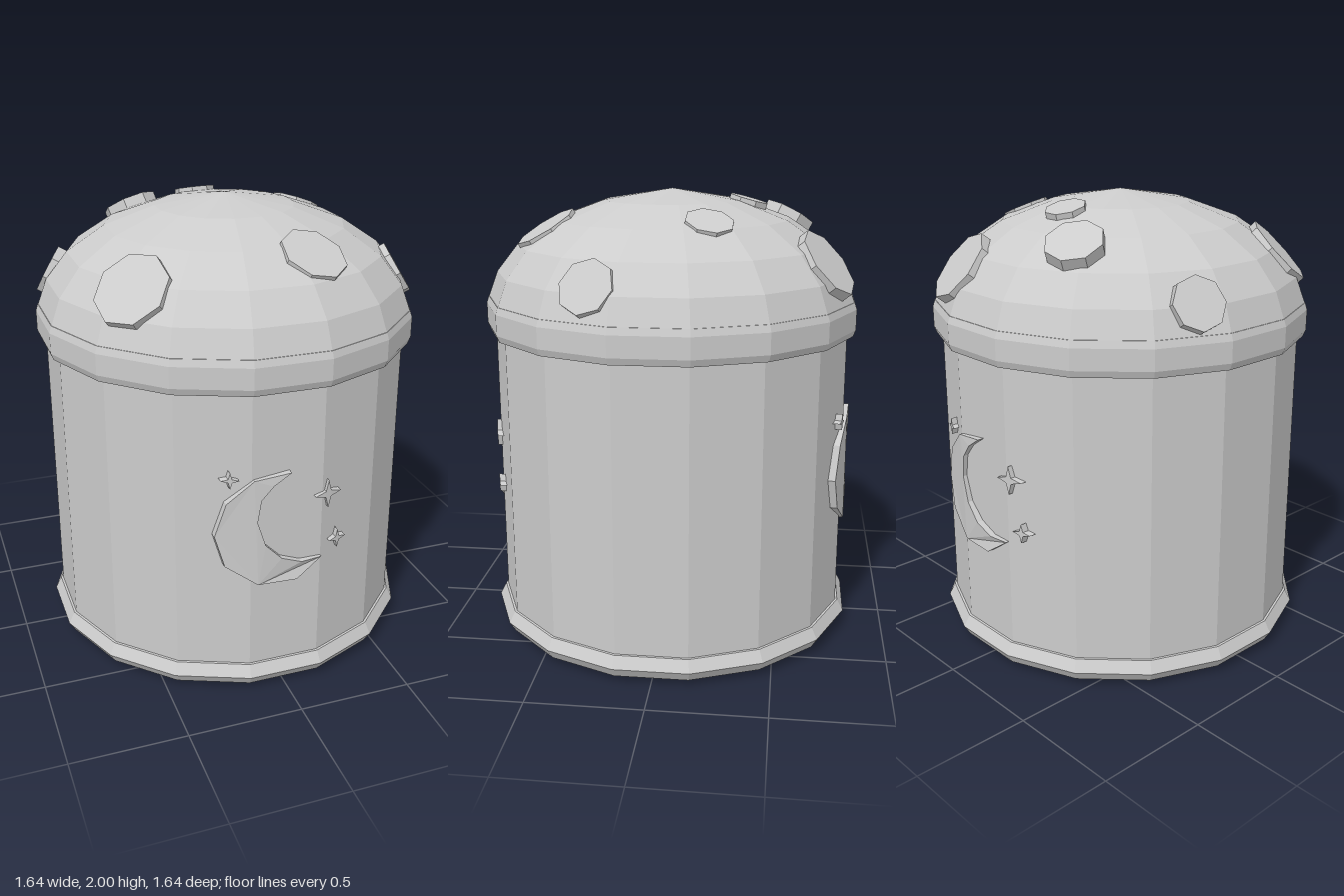
import * as THREE from 'three';

const SIDES = 16;
const material = new THREE.MeshStandardMaterial({ color: 0xcccccc, flatShading: true });

function addMesh(parent, name, geometry) {
  const mesh = new THREE.Mesh(geometry, material);
  mesh.name = name;
  parent.add(mesh);
  return mesh;
}

// Sixteen-sided turned part with a flat facing the front; profile runs bottom to top
function turned(profile) {
  const points = profile.map(([r, y]) => new THREE.Vector2(r, y));
  return new THREE.LatheGeometry(points, SIDES, Math.PI / SIDES, Math.PI * 2);
}

// Extruded outline wrapped around the wall of the jar
function wrapped(points) {
  const shape = new THREE.Shape(points.map(([x, y]) => new THREE.Vector2(x, y)));
  const geometry = new THREE.ExtrudeGeometry(shape, { depth: 0.06, bevelEnabled: false });
  const pos = geometry.attributes.position;
  for (let i = 0; i < pos.count; i++) {
    const x = pos.getX(i);
    pos.setZ(i, Math.sqrt(0.815 ** 2 - x * x) - 0.06 + pos.getZ(i));
  }
  geometry.computeVertexNormals();
  return geometry;
}

function starOutline(cx, cy, r) {
  return Array.from({ length: 8 }, (_, i) => {
    const a = i * Math.PI / 4;
    const d = i % 2 ? r * 0.3 : r;
    return [cx + d * Math.cos(a), cy + d * Math.sin(a)];
  });
}

// Crescent moon with three four-pointed stars
function createEmblem() {
  const emblem = new THREE.Group();
  addMesh(emblem, 'crescentMoon', wrapped([
    [0.005, 1.03], [-0.15, 1.01], [-0.26, 0.91], [-0.305, 0.76], [-0.265, 0.62], [-0.13, 0.525],
    [0.04, 0.525], [0.155, 0.605], [0.06, 0.605], [-0.03, 0.64], [-0.1, 0.71], [-0.135, 0.82],
    [-0.12, 0.92], [-0.07, 0.98],
  ]));
  const stars = [[0.18, 0.895, 0.062], [0.235, 0.667, 0.042], [-0.245, 1.015, 0.036]];
  stars.forEach(([x, y, r]) => addMesh(emblem, 'star', wrapped(starOutline(x, y, r))));
  return emblem;
}

export function createModel() {
  const model = new THREE.Group();
  model.name = 'mushroomJar';

  // Jar wall and foot ring
  addMesh(model, 'body', turned([[0.8, 0.08], [0.8, 1.42]]));
  addMesh(model, 'base', turned([
    [0, 0], [0.7, 0.003], [0.81, 0.025], [0.838, 0.07], [0.81, 0.122], [0.78, 0.125],
  ]));

  // Lid: straight rim below a shallow dome
  addMesh(model, 'lidRim', turned([
    [0.77, 1.38], [0.826, 1.38], [0.838, 1.41], [0.838, 1.5], [0.828, 1.53], [0.8, 1.535],
  ]));
  addMesh(model, 'lidDome', turned([
    [0.826, 1.53], [0.785, 1.64], [0.69, 1.76], [0.525, 1.87], [0.305, 1.95], [0, 2],
  ]));

  // Octagonal spots tilted to follow the dome: x, y, z of the outer face, radius
  const spots = [
    [-0.54, 1.745, 0.45, 0.165],
    [0.195, 1.845, 0.535, 0.143],
    [0.72, 1.67, 0.26, 0.122],
    [0.42, 1.9, -0.2, 0.105],
    [0.25, 1.715, -0.695, 0.165],
    [-0.03, 1.955, -0.34, 0.09],
    [-0.295, 1.87, -0.52, 0.125],
    [-0.74, 1.655, -0.27, 0.115],
  ];
  const up = new THREE.Vector3(0, 1, 0);
  spots.forEach(([x, y, z, r]) => {
    const geometry = new THREE.CylinderGeometry(r, r, 0.07, 8, 1, false, Math.PI / 8);
    geometry.translate(0, -0.035, 0);
    const spot = addMesh(model, 'lidSpot', geometry);
    const normal = new THREE.Vector3(x / 0.69, (y - 1.5) / 0.25, z / 0.69).normalize();
    spot.position.set(x, y, z);
    spot.quaternion.setFromUnitVectors(up, normal);
  });

  // Matching emblems on the front and back
  ['frontEmblem', 'backEmblem'].forEach((name, i) => {
    const emblem = createEmblem();
    emblem.name = name;
    emblem.rotation.y = i * Math.PI;
    model.add(emblem);
  });

  return model;
}
